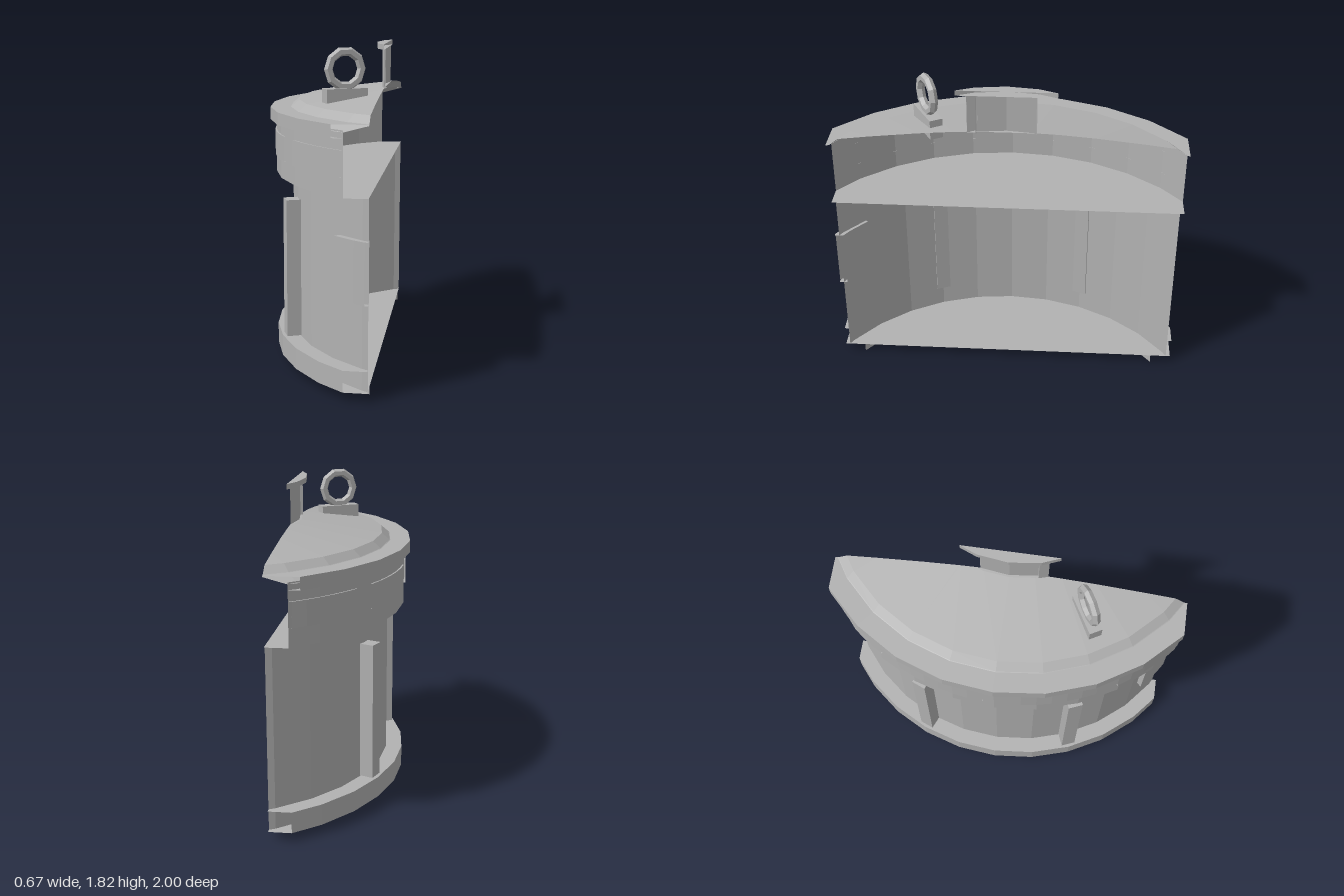
import * as THREE from 'three';

const CX = 0.94;              // axis of the tank
const RAD = Math.PI / 180;
// Section box: x <= 0.335, |z| <= 1
const PLANES = [[-1, 0, 0.335], [0, 1, 1], [0, -1, 1]];

// Cut a geometry with the section planes, leaving it open, flat shaded
function section(geometry) {
  const p = (geometry.index ? geometry.toNonIndexed() : geometry).attributes.position;
  const out = [];
  for (let i = 0; i < p.count; i += 3) {
    let poly = [0, 1, 2].map(k => new THREE.Vector3().fromBufferAttribute(p, i + k));
    for (const [a, b, c] of PLANES) {
      const dist = v => a * v.x + b * v.z + c;
      const next = [];
      poly.forEach((v, k) => {
        const w = poly[(k + 1) % poly.length];
        const dv = dist(v), dw = dist(w);
        if (dv >= 0) next.push(v);
        if ((dv < 0) !== (dw < 0)) next.push(v.clone().lerp(w, dv / (dv - dw)));
      });
      poly = next;
    }
    for (let k = 1; k + 1 < poly.length; k++) {
      for (const v of [poly[0], poly[k], poly[k + 1]]) out.push(v.x, v.y, v.z);
    }
  }
  const g = new THREE.BufferGeometry();
  g.setAttribute('position', new THREE.Float32BufferAttribute(out, 3));
  g.computeVertexNormals();
  return g;
}

export function createModel() {
  const model = new THREE.Group();
  model.name = 'tankSection';
  const steel = new THREE.MeshStandardMaterial({ color: 0xb2b2b2, side: THREE.DoubleSide, flatShading: true });
  steel.name = 'grey steel';

  const add = (name, geometry) => {
    const mesh = new THREE.Mesh(section(geometry), steel);
    mesh.name = name;
    model.add(mesh);
  };
  // Turned part about the tank axis; angles in degrees from -x towards +z
  const turned = (name, profile, sides, from = 0, sweep = 360) => {
    const pts = profile.map(([r, y]) => new THREE.Vector2(r, y));
    const g = new THREE.LatheGeometry(pts, sides, (270 + from) * RAD, sweep * RAD);
    add(name, g.translate(CX, 0, 0));
  };
  // Move a part, whose own x axis is radial, out to a radius and angle
  const place = (g, radius, angle, y) =>
    g.rotateY(angle * RAD).translate(CX - radius * Math.cos(angle * RAD), y, radius * Math.sin(angle * RAD));

  // Foot, floor, wall and base ring
  turned('footSkirt', [[1.07, 0], [1.07, 0.05]], 32);
  turned('baseRing', [[0, 0.05], [1.245, 0.05], [1.245, 0.17], [1.15, 0.17]], 32);
  turned('tankWall', [[1.15, 0.05], [1.15, 1.085]], 32);

  // Upper band with its underside plate
  turned('upperBand', [[0, 1.085], [1.245, 1.085], [1.245, 1.43]], 32);
  for (const a of [-45, -15, 15, 45]) {
    turned('bandPanel', [[1.243, 1.19], [1.252, 1.19], [1.252, 1.33], [1.243, 1.33]], 6, a - 12, 24);
  }

  // Lid rim and shallow dome
  turned('lidRim', [[1.245, 1.39], [1.28, 1.39], [1.28, 1.46], [1.16, 1.46]], 28);
  turned('lidDome', [[1.245, 1.42], [1.16, 1.462], [1.115, 1.5], [0.64, 1.57], [0.58, 1.572]], 28);

  // Neck and flange
  turned('neck', [[0.628, 1.56], [0.628, 1.785]], 24);
  turned('neckFlange', [[0, 1.785], [0.67, 1.785], [0.67, 1.815], [0, 1.815]], 24);
  add('neckTab', place(new THREE.BoxGeometry(0.03, 0.22, 0.055), 0.628, 17, 1.675));

  // Wall ribs
  for (const a of [-22.5, 22.5]) {
    add('wallRib', place(new THREE.BoxGeometry(0.09, 0.79, 0.086), 1.182, a, 0.57));
  }

  // Side plate wrapped on the wall
  turned('sidePlate', [[1.13, 0.525], [1.18, 0.525], [1.18, 0.86], [1.13, 0.86], [1.13, 0.525]], 2, 47.6, 14);
  add('sidePlateEdge', place(new THREE.BoxGeometry(0.05, 0.335, 0.004), 1.155, 47.7, 0.6925));

  // Lifting eye
  add('eyeBase', place(new THREE.BoxGeometry(0.24, 0.115, 0.075), 0.918, 29.5, 1.53));
  add('liftingEye', place(new THREE.TorusGeometry(0.097, 0.025, 6, 10), 0.918, 29.5, 1.692));

  return model;
}
